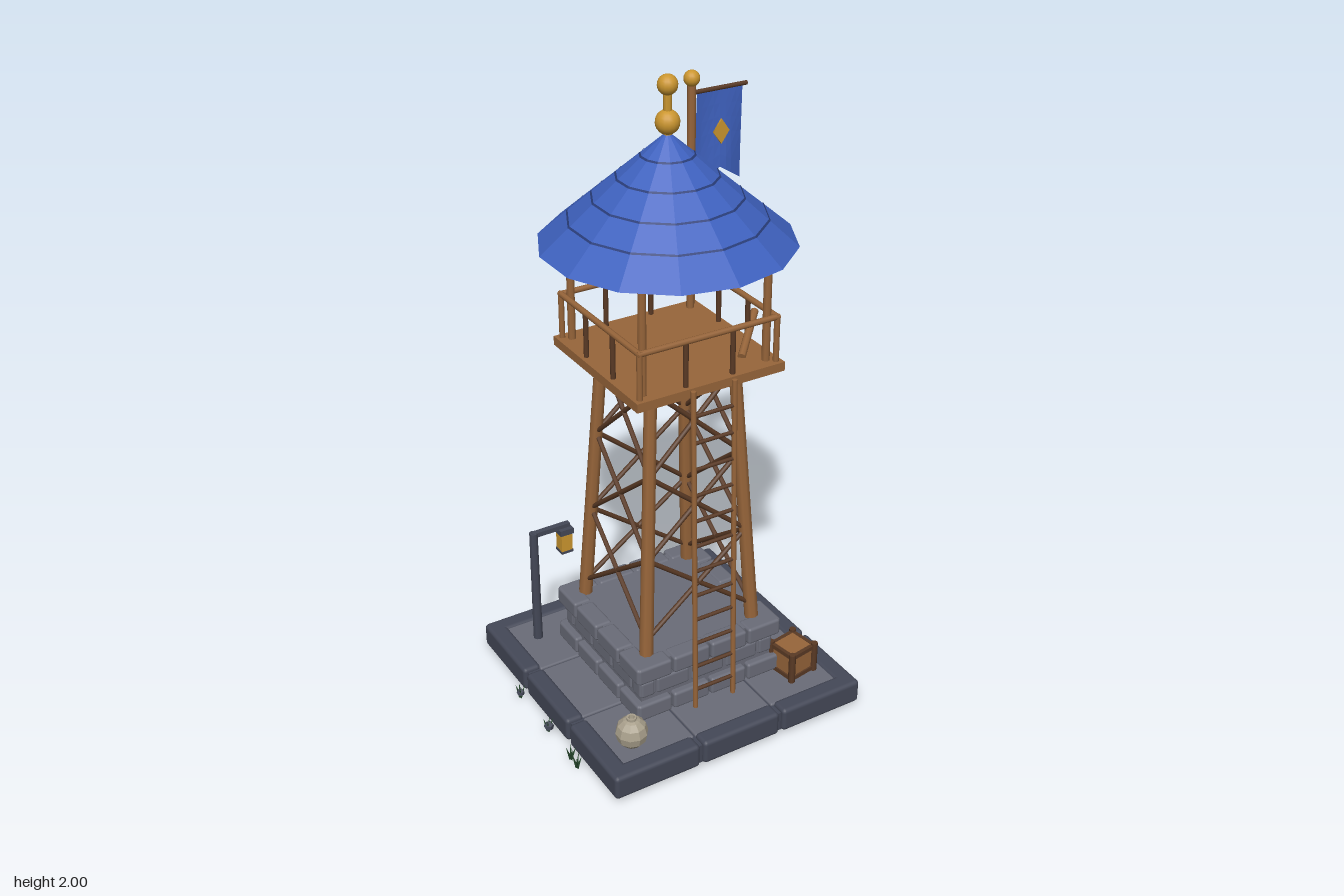
import * as THREE from 'three';
import { RoundedBoxGeometry } from 'three/addons/geometries/RoundedBoxGeometry.js';

const mat = (name, color, extra = {}) => {
  const m = new THREE.MeshStandardMaterial({ color, ...extra });
  m.name = name;
  return m;
};

export function createModel() {
  const flat = { flatShading: true };
  const wood = mat('wood', 0x97653a);
  const darkWood = mat('darkWood', 0x5a3a25);
  const slate = mat('slate', 0x444857);
  const stone = mat('stone', 0x6a6c78);
  const blue = mat('blue', 0x3f62c0, { flatShading: true, side: THREE.DoubleSide });
  const navy = mat('navy', 0x283c78, flat);
  const gold = mat('gold', 0xcb962f);
  const clay = mat('clay', 0xa9a08c, flat);
  const green = mat('green', 0x24442a, { flatShading: true, side: THREE.DoubleSide });

  const root = new THREE.Group();
  root.name = 'watchtower';
  const model = new THREE.Group();
  model.name = 'tower';
  model.position.set(-0.003, 0, -0.003);
  root.add(model);

  const add = (name, geo, material, x = 0, y = 0, z = 0, parent = model) => {
    const m = new THREE.Mesh(geo, material);
    m.name = name;
    m.position.set(x, y, z);
    parent.add(m);
    return m;
  };
  const box = (name, w, h, d, material, x, y, z, parent) =>
    add(name, new THREE.BoxGeometry(w, h, d), material, x, y, z, parent);
  const block = (name, w, h, d, r, material, x, y, z, parent) =>
    add(name, new RoundedBoxGeometry(w, h, d, 2, r), material, x, y, z, parent);
  const ball = (name, r, material, x, y, z, parent) =>
    add(name, new THREE.SphereGeometry(r, 16, 12), material, x, y, z, parent);
  // Round bar between two points
  const bar = (name, a, b, r0, r1, material, parent = model) => {
    const p = new THREE.Vector3(...a), q = new THREE.Vector3(...b);
    const dir = q.clone().sub(p);
    const m = add(name, new THREE.CylinderGeometry(r1, r0, dir.length(), 8), material, 0, 0, 0, parent);
    m.position.copy(p).add(q).multiplyScalar(0.5);
    m.quaternion.setFromUnitVectors(new THREE.Vector3(0, 1, 0), dir.normalize());
    return m;
  };
  // Four copies of a side, turned about the vertical axis
  const fourSides = (name, build) => {
    for (let i = 0; i < 4; i++) {
      const side = new THREE.Group();
      side.name = name;
      side.rotation.y = i * Math.PI / 2;
      model.add(side);
      build(side, i);
    }
  };

  // Paved ground plate with kerb stones
  box('groundPlate', 0.85, 0.065, 0.85, slate, 0, 0.0495, 0);
  for (const x of [-0.262, 0, 0.262])
    for (const z of [-0.262, 0, 0.262])
      block('pavingSlab', x ? 0.245 : 0.268, 0.03, z ? 0.245 : 0.268, 0.006, stone, x, 0.074, z);
  fourSides('kerb', (g) => {
    for (const x of [-0.294, 0, 0.294])
      block('kerbStone', x ? 0.29 : 0.272, 0.08, 0.06, 0.013, slate, x, 0.055, 0.409, g);
  });

  // Stone footing: three courses of staggered blocks
  box('footingCore', 0.47, 0.2, 0.47, stone, 0, 0.186, 0);
  fourSides('footingWall', (g) => {
    for (let row = 0; row < 3; row++) {
      const odd = row === 1;
      const half = odd ? 0.24 : 0.258;
      const cuts = odd ? [-1, -0.77, -0.26, 0.26, 0.77, 1] : [-1, -0.52, 0, 0.52, 1];
      for (let i = 0; i + 1 < cuts.length; i++) {
        const a = cuts[i] * half, b = cuts[i + 1] * half;
        block('footingBlock', b - a - 0.007, 0.057, 0.06, 0.009, stone,
          (a + b) / 2, 0.126 + row * 0.068, half - 0.03, g);
      }
    }
  });

  // Leaning legs and cross braces
  const legAt = (y) => 0.19 - 0.05 * (y - 0.29) / 0.87;
  fourSides('frameSide', (g) => {
    bar('leg', [-0.19, 0.285, 0.19], [-0.14, 1.165, 0.14], 0.022, 0.019, wood, g);
    for (let i = 0; i < 3; i++) {
      const y0 = 0.335 + i * 0.272, y1 = y0 + 0.272, a = legAt(y0), b = legAt(y1);
      for (const s of [-1, 1])
        bar('brace', [-s * a, y0, a], [s * b, y1, b], 0.0075, 0.0075, darkWood, g);
    }
  });

  // Lookout platform and railing
  box('platform', 0.486, 0.028, 0.486, wood, 0, 1.172, 0);
  fourSides('railing', (g) => {
    bar('topRail', [-0.23, 1.325, 0.224], [0.23, 1.325, 0.224], 0.009, 0.009, wood, g);
    bar('cornerPost', [-0.224, 1.18, 0.224], [-0.224, 1.325, 0.224], 0.009, 0.009, wood, g);
    for (const x of [-0.077, 0.077])
      bar('baluster', [x, 1.18, 0.224], [x, 1.325, 0.224], 0.008, 0.008, darkWood, g);
    bar('roofPost', [-0.203, 1.18, 0.203], [-0.203, 1.56, 0.203], 0.012, 0.012, wood, g);
  });
  bar('leaningPole', [0.15, 1.19, 0.16], [0.28, 1.25, 0.03], 0.012, 0.012, wood);

  // Ladder on the front
  const ladderZ = (y) => 0.278 - 0.028 * (y - 0.095) / 1.085;
  for (const x of [-0.068, 0.068])
    bar('ladderRail', [x, 0.095, ladderZ(0.095)], [x, 1.18, ladderZ(1.18)], 0.008, 0.008, wood);
  for (let i = 0; i < 12; i++) {
    const y = 0.16 + i * 0.0855;
    bar('rung', [-0.068, y, ladderZ(y)], [0.068, y, ladderZ(y)], 0.006, 0.006, darkWood);
  }

  // Fourteen-sided roof with thin seam bands
  const roofR = 0.368, roofH = 0.318, eaves = 1.525;
  add('roof', new THREE.ConeGeometry(roofR, roofH, 14), blue, 0, eaves + roofH / 2, 0);
  for (const r of [0.077, 0.145, 0.214, 0.283]) {
    const slope = roofH / roofR, w = 0.005;
    add('roofSeam', new THREE.CylinderGeometry(r - w / 2, r + w / 2, w * slope, 14, 1, true),
      navy, 0, eaves + (roofR - r) * slope + 0.002, 0);
  }
  bar('finialRod', [0, 1.83, 0], [0, 1.975, 0], 0.012, 0.012, gold);
  ball('finialLowerBall', 0.035, gold, 0, 1.868, 0);
  ball('finialUpperBall', 0.029, gold, 0, 1.971, 0);

  // Flagpole with hanging swallowtail banner
  bar('flagpole', [0.203, 1.5, -0.203], [0.203, 1.89, -0.203], 0.013, 0.013, wood);
  ball('flagpoleBall', 0.024, gold, 0.203, 1.9, -0.203);
  bar('flagArm', [0.2, 1.857, -0.203], [0.39, 1.857, -0.203], 0.007, 0.007, darkWood);
  const wave = (x, y) => 0.009 * Math.sin(x * 35 + 1) * Math.min(1, (1.85 - y) * 5);
  const cloth = new THREE.PlaneGeometry(1, 1, 8, 6);
  const p = cloth.attributes.position;
  for (let i = 0; i < p.count; i++) {
    const u = p.getX(i), v = 0.5 - p.getY(i);
    const x = 0.298 + u * 0.155;
    const y = 1.85 - v * (0.28 - 0.05 * (1 - Math.abs(2 * u)));
    p.setXYZ(i, x, y, wave(x - 0.298, y) - 0.203);
  }
  cloth.computeVertexNormals();
  add('banner', cloth, blue);
  const diamond = add('bannerDiamond', new THREE.CylinderGeometry(0.027, 0.027, 0.006, 4),
    gold, 0.298, 1.73, -0.192);
  diamond.rotation.x = Math.PI / 2;
  diamond.scale.z = 1.4;

  // Lantern on a bracket post
  bar('lampPost', [-0.315, 0.085, -0.293], [-0.315, 0.492, -0.293], 0.016, 0.014, slate);
  box('lampArm', 0.13, 0.016, 0.018, slate, -0.255, 0.485, -0.293);
  box('lanternCap', 0.046, 0.02, 0.046, slate, -0.207, 0.47, -0.293);
  box('lanternGlass', 0.038, 0.068, 0.038, gold, -0.207, 0.43, -0.293);
  box('lanternFoot', 0.042, 0.008, 0.042, slate, -0.207, 0.395, -0.293);

  // Round clay jar
  const jar = [[0, 0], [0.028, 0], [0.044, 0.018], [0.05, 0.044], [0.043, 0.07], [0.026, 0.086],
    [0.016, 0.09], [0.016, 0.098], [0.01, 0.098], [0.009, 0.085], [0, 0.085]];
  add('jar', new THREE.LatheGeometry(jar.map(([x, y]) => new THREE.Vector2(x, y)), 10),
    clay, -0.315, 0.09, 0.315);

  // Crate with a dark frame
  const crate = new THREE.Group();
  crate.name = 'crate';
  crate.position.set(0.296, 0.09, 0.27);
  crate.rotation.y = 0.17;
  model.add(crate);
  box('crateBody', 0.094, 0.092, 0.094, wood, 0, 0.05, 0, crate);
  for (let i = 0; i < 4; i++) {
    const edge = new THREE.Group();
    edge.name = 'crateFrame';
    edge.rotation.y = i * Math.PI / 2;
    crate.add(edge);
    bar('crateCorner', [-0.048, 0, 0.048], [-0.048, 0.104, 0.048], 0.011, 0.011, darkWood, edge);
    for (const y of [0.01, 0.09]) box('crateSlat', 0.096, 0.014, 0.012, darkWood, 0, y, 0.046, edge);
  }

  // Pebbles and grass tufts along the edges
  for (const [x, z, r] of [[0.455, -0.312, 0.018], [0.455, -0.084, 0.017], [0.455, 0.355, 0.018],
    [-0.457, -0.145, 0.013], [-0.455, 0.045, 0.016]])
    add('pebble', new THREE.DodecahedronGeometry(r), slate, x, 0.02, z);
  for (const [x, z] of [[0.455, -0.388], [0.457, 0.162], [-0.457, 0.045], [-0.458, 0.195],
    [-0.46, 0.238], [-0.457, -0.145]]) {
    for (let i = 0; i < 4; i++) {
      const a = i * 1.7 + z * 9;
      const blade = add('grassBlade', new THREE.ConeGeometry(0.006, 0.05, 3), green,
        x + 0.008 * Math.cos(a), 0.026, z + 0.008 * Math.sin(a));
      blade.rotation.set(0.3 * Math.sin(a), 0, -0.3 * Math.cos(a));
    }
  }
  return root;
}
